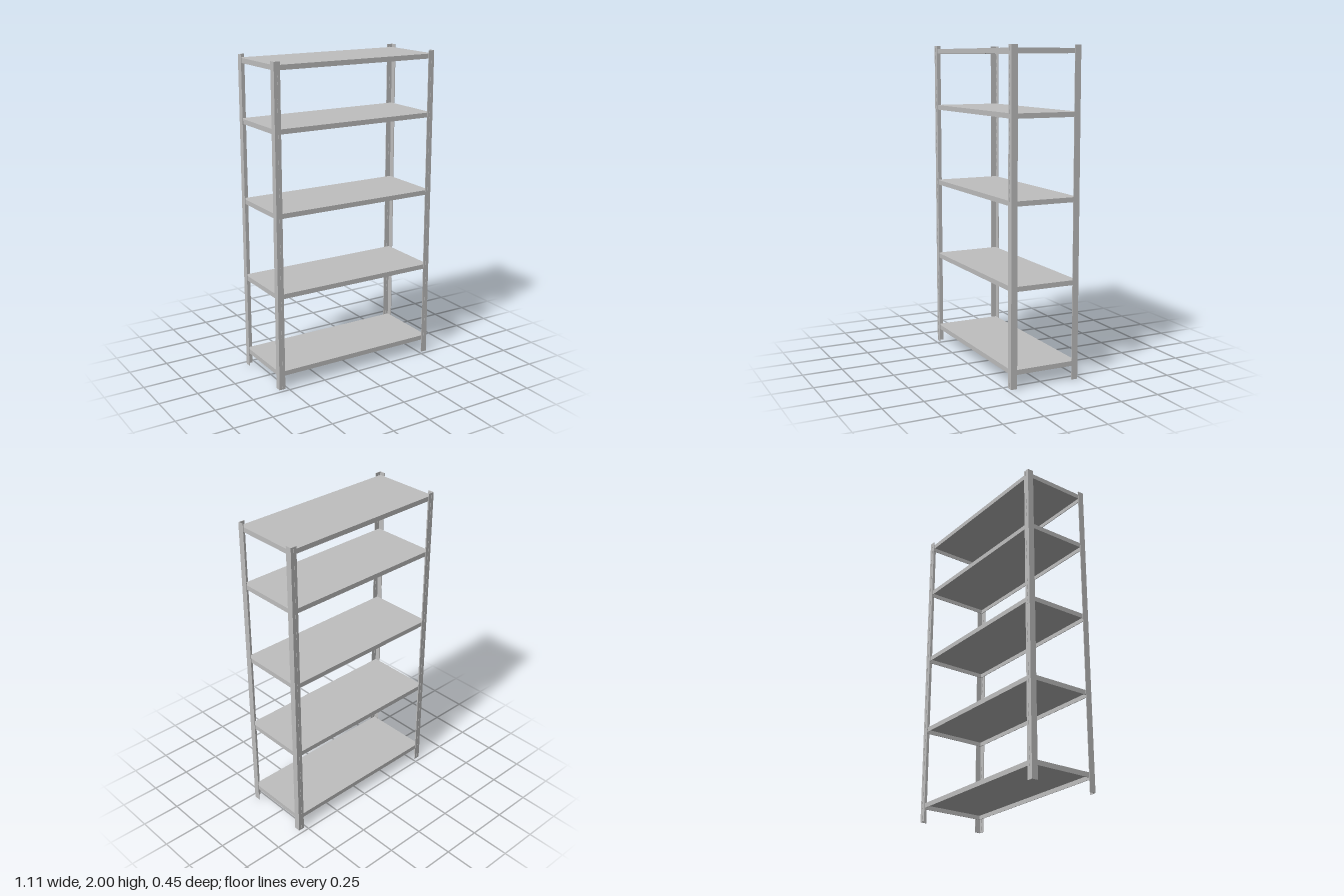
import * as THREE from 'three';

const steel = new THREE.MeshStandardMaterial({ color: 0xbfbfbf });
steel.name = 'grey steel';

const HX = 0.557, HZ = 0.225; // outer half width and half depth
const T = 0.004; // sheet thickness
const FLANGE = 0.04;
const SX = 0.552, SZ = 0.218; // shelf half sizes
const SHELF_H = 0.03;

function box(name, w, h, d, x, y, z) {
  const mesh = new THREE.Mesh(new THREE.BoxGeometry(w, h, d), steel);
  mesh.name = name;
  mesh.position.set(x, y, z);
  return mesh;
}

// Upright angle post, with a column of small tabs through its front or back flange
function createPost(sx, sz) {
  const post = new THREE.Group();
  post.name = (sz > 0 ? 'front' : 'back') + (sx > 0 ? 'Left' : 'Right') + 'Post';

  const s = new THREE.Shape();
  [[HX, HZ], [HX - FLANGE, HZ], [HX - FLANGE, HZ - T], [HX - T, HZ - T],
    [HX - T, HZ - FLANGE], [HX, HZ - FLANGE]].forEach(([x, z], i) => {
    // shape y becomes -z once the extrusion is stood upright
    if (i === 0) s.moveTo(x * sx, -z * sz);
    else s.lineTo(x * sx, -z * sz);
  });
  s.closePath();
  const geo = new THREE.ExtrudeGeometry(s, { depth: 2, bevelEnabled: false });
  geo.rotateX(-Math.PI / 2);
  const angle = new THREE.Mesh(geo, steel);
  angle.name = 'angleBar';
  post.add(angle);

  const count = 40;
  const tabs = new THREE.InstancedMesh(new THREE.BoxGeometry(0.001, 0.025, 0.009), steel, count);
  tabs.dispose();
  for (let i = 0; i < count; i++) {
    post.add(box('slotTab', 0.001, 0.025, 0.008, sx * 0.536, 0.025 + i * 0.05, sz * (HZ - T / 2)));
  }
  return post;
}

// Shelf: flat sheet with four turned-down edges, open underneath
function createShelf(top) {
  const shelf = new THREE.Group();
  shelf.name = 'shelf';
  shelf.add(box('shelfSheet', 2 * SX, T, 2 * SZ, 0, top - T / 2, 0));
  const h = SHELF_H - T, y = top - T - h / 2;
  for (const s of [-1, 1]) {
    shelf.add(box(s > 0 ? 'frontLip' : 'backLip', 2 * SX, h, T, 0, y, s * (SZ - T / 2)));
    shelf.add(box(s > 0 ? 'leftLip' : 'rightLip', T, h, 2 * (SZ - T), s * (SX - T / 2), y, 0));
  }
  return shelf;
}

export function createModel() {
  const group = new THREE.Group();
  group.name = 'shelvingUnit';
  for (const sx of [-1, 1]) for (const sz of [-1, 1]) group.add(createPost(sx, sz));
  for (const top of [0.115, 0.615, 1.115, 1.615, 1.98]) group.add(createShelf(top));
  return group;
}
